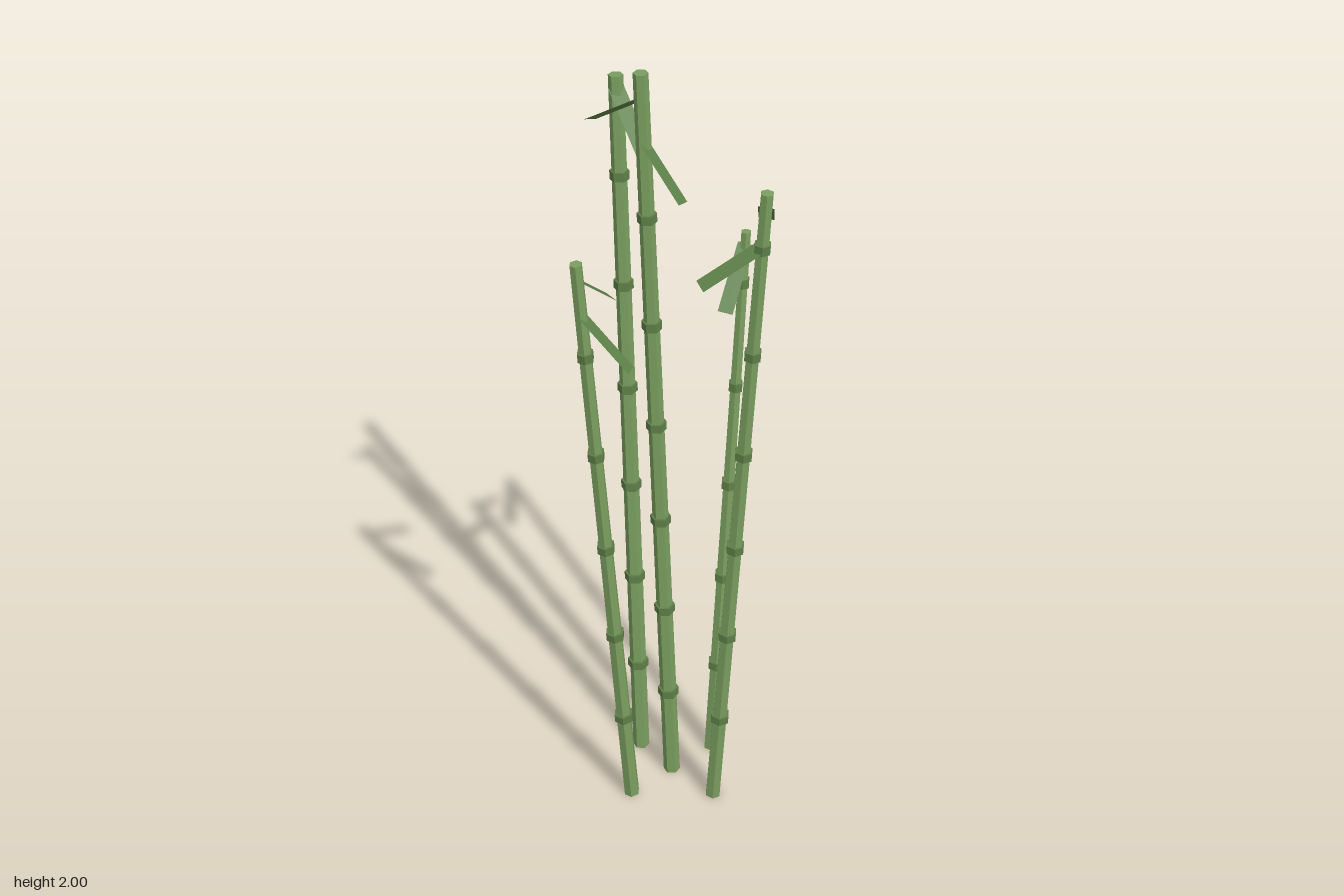
import * as THREE from 'three';

const mat = (name, color, extra = {}) =>
  Object.assign(new THREE.MeshStandardMaterial({ color, flatShading: true, ...extra }), { name });

const UP = new THREE.Vector3(0, 1, 0);
const NODE_STEP = 0.276;

// base and top [x, z], height, radii, turn of the hexagon about its axis,
// leaves: [start height on the stalk, tip centre x, y, z, blade width vector x, z]
const STALKS = [
  { base: [-0.008, -0.008], top: [-0.07, 0.012], h: 2.0, r: [0.021, 0.0165], turn: Math.PI / 6,
    leaves: [[1.94, -0.183, 1.855, -0.055, 0.023, -0.025], [1.84, 0.022, 1.735, 0.084, 0.016, -0.029]] },
  { base: [-0.093, -0.095], top: [-0.138, -0.188], h: 1.895, r: [0.021, 0.017], turn: Math.PI / 6,
    leaves: [[1.865, -0.069, 1.765, -0.07, 0.027, -0.011]] },
  { base: [0.09, -0.095], top: [0.152, -0.191], h: 1.51, r: [0.019, 0.0125], turn: 0,
    leaves: [[1.48, 0.11, 1.365, -0.073, 0.032, 0.007]] },
  { base: [0.102, 0.078], top: [0.199, 0.127], h: 1.79, r: [0.02, 0.015], turn: 0,
    leaves: [[1.755, 0.198, 1.655, 0, 0.032, 0.003], [1.66, 0.062, 1.585, 0.17, 0.016, 0.029]] },
  { base: [-0.106, 0.083], top: [-0.202, 0.15], h: 1.62, r: [0.02, 0.0145], turn: 0,
    leaves: [[1.58, -0.136, 1.47, 0.039, 0.025, 0.021], [1.49, -0.085, 1.375, 0.184, 0.009, -0.032]] },
];

// flat rectangular blade from the stalk to its tip
function leafGeometry(start, tip, wx, wz) {
  const d = tip.clone().sub(start);
  // the width vector is kept perpendicular to the blade
  const w = new THREE.Vector3(wx, -(wx * d.x + wz * d.z) / d.y, wz).setLength(0.0175);
  const corners = [
    start.clone().sub(w), start.clone().add(w),
    tip.clone().add(w), tip.clone().sub(w),
  ];
  const g = new THREE.BufferGeometry().setFromPoints(corners);
  const normalY = w.clone().cross(d).y;
  g.setIndex(normalY > 0 ? [0, 1, 2, 0, 2, 3] : [0, 2, 1, 0, 3, 2]);
  g.computeVertexNormals();
  return g;
}

export function createModel() {
  const stalkGreen = mat('stalk green', 0x7a9e5f);
  const nodeGreen = mat('node green', 0x5e7f48);
  const leafGreen = mat('leaf green', 0x5c8048, { side: THREE.DoubleSide });

  const model = new THREE.Group();
  model.name = 'bambooClump';

  for (const { base, top, h, r, turn, leaves } of STALKS) {
    const cane = new THREE.Group();
    cane.name = 'cane';
    const a = new THREE.Vector3(base[0], 0, base[1]);
    const b = new THREE.Vector3(top[0], h, top[1]);
    const lean = new THREE.Quaternion().setFromUnitVectors(UP, b.clone().sub(a).normalize());
    const at = (y) => a.clone().lerp(b, y / h);

    // hexagonal tapered piece centred on the stalk axis
    const addHex = (name, y, rTop, rBottom, length, material) => {
      const g = new THREE.CylinderGeometry(rTop, rBottom, length, 6).rotateY(turn);
      const mesh = new THREE.Mesh(g, material);
      mesh.name = name;
      mesh.position.copy(at(y));
      mesh.quaternion.copy(lean);
      cane.add(mesh);
    };

    // stalk
    addHex('stalk', h / 2, r[1], r[0], a.distanceTo(b), stalkGreen);

    // raised joints at even heights
    for (let y = NODE_STEP; y < h - 0.1; y += NODE_STEP) {
      const rn = THREE.MathUtils.lerp(r[0], r[1], y / h) * 1.28;
      addHex('node', y, rn, rn, 0.022, nodeGreen);
    }

    // leaves
    for (const [y, tx, ty, tz, wx, wz] of leaves) {
      const leaf = new THREE.Mesh(leafGeometry(at(y), new THREE.Vector3(tx, ty, tz), wx, wz), leafGreen);
      leaf.name = 'leaf';
      cane.add(leaf);
    }
    model.add(cane);
  }
  return model;
}
